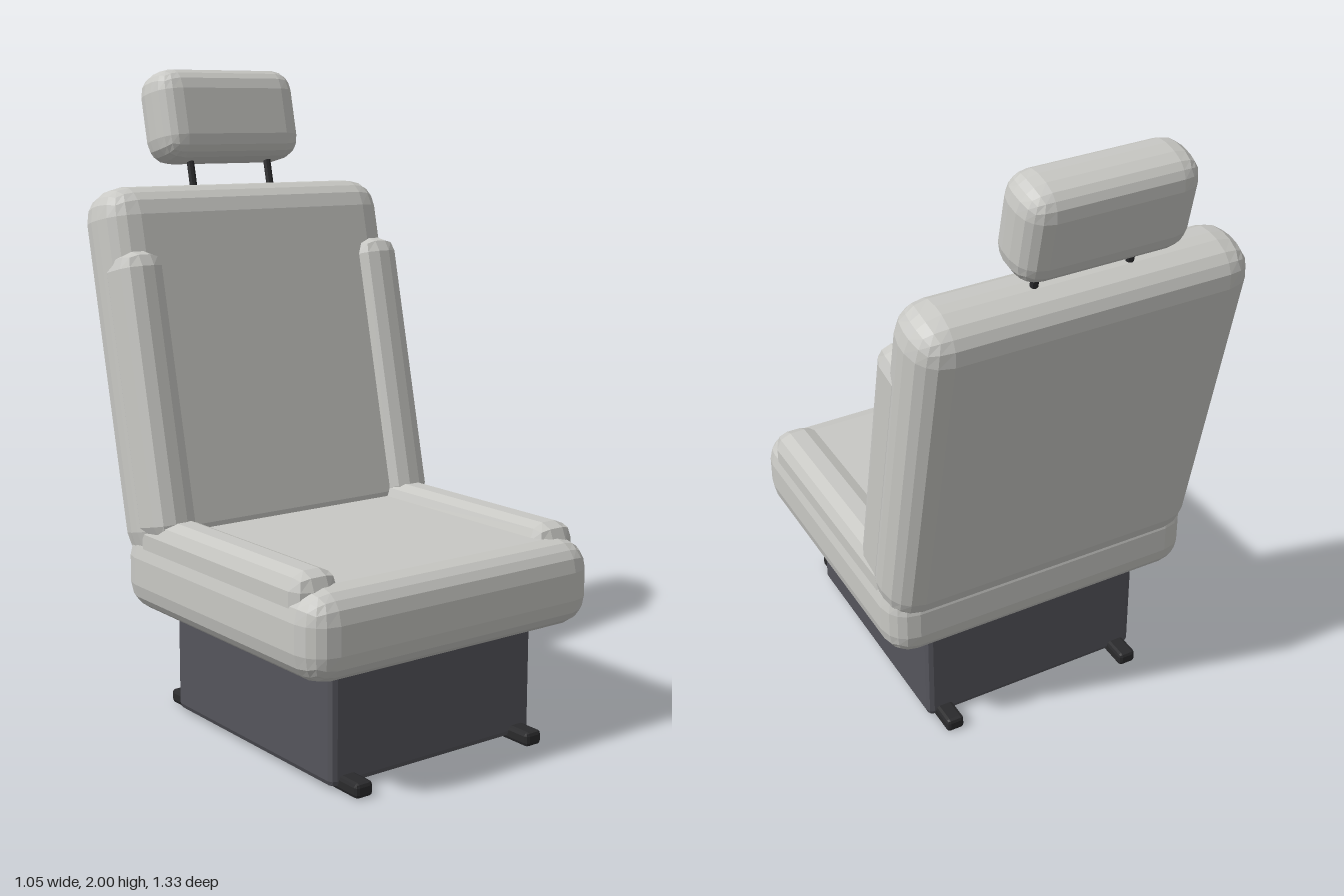
import * as THREE from 'three';
import { RoundedBoxGeometry } from 'three/addons/geometries/RoundedBoxGeometry.js';

const material = (name, color) => new THREE.MeshStandardMaterial({ name, color, flatShading: true });

export function createModel() {
  const fabric = material('grey upholstery', 0xc8c8c4);
  const metal = material('slate base', 0x55555c);
  const dark = material('dark metal', 0x2a2a2c);

  const model = new THREE.Group();
  model.name = 'seat';

  // Softly faceted box, given by size, centre, edge radius and edge steps
  function pad(parent, name, mat, [w, h, d], [x, y, z], radius, steps) {
    const mesh = new THREE.Mesh(new RoundedBoxGeometry(w, h, d, steps, radius), mat);
    mesh.name = name;
    mesh.position.set(x, y, z);
    parent.add(mesh);
    return mesh;
  }

  // Pedestal and seat cushion
  pad(model, 'pedestal', metal, [0.75, 0.35, 0.81], [0, 0.185, 0.145], 0.02, 1);
  pad(model, 'seatCushion', fabric, [1.05, 0.265, 1.015], [0, 0.482, 0.163], 0.09, 2);

  // Reclined group: everything above the cushion leans back together
  const back = new THREE.Group();
  back.name = 'reclinedBack';
  back.position.set(0, 1.07, -0.357);
  back.rotation.x = -0.22;
  model.add(back);

  pad(back, 'backrest', fabric, [1.05, 1.156, 0.235], [0, 0, 0], 0.1, 2);
  pad(back, 'headrest', fabric, [0.525, 0.296, 0.19], [0, 0.804, -0.023], 0.075, 2);

  // Mirrored parts
  for (const [side, s] of [['left', 1], ['right', -1]]) {
    pad(model, side + 'Rail', dark, [0.06, 0.045, 0.97], [s * 0.32, 0.0225, 0.145], 0.012, 1);
    pad(model, side + 'SeatBolster', fabric, [0.15, 0.16, 0.86], [s * 0.442, 0.575, 0.163], 0.05, 1);
    pad(back, side + 'BackBolster', fabric, [0.14, 0.88, 0.18], [s * 0.452, -0.075, 0.075], 0.05, 1);

    const post = new THREE.Mesh(new THREE.CylinderGeometry(0.012, 0.012, 0.24, 8), dark);
    post.name = side + 'HeadrestPost';
    post.position.set(s * 0.148, 0.62, -0.005);
    back.add(post);
  }
  return model;
}
